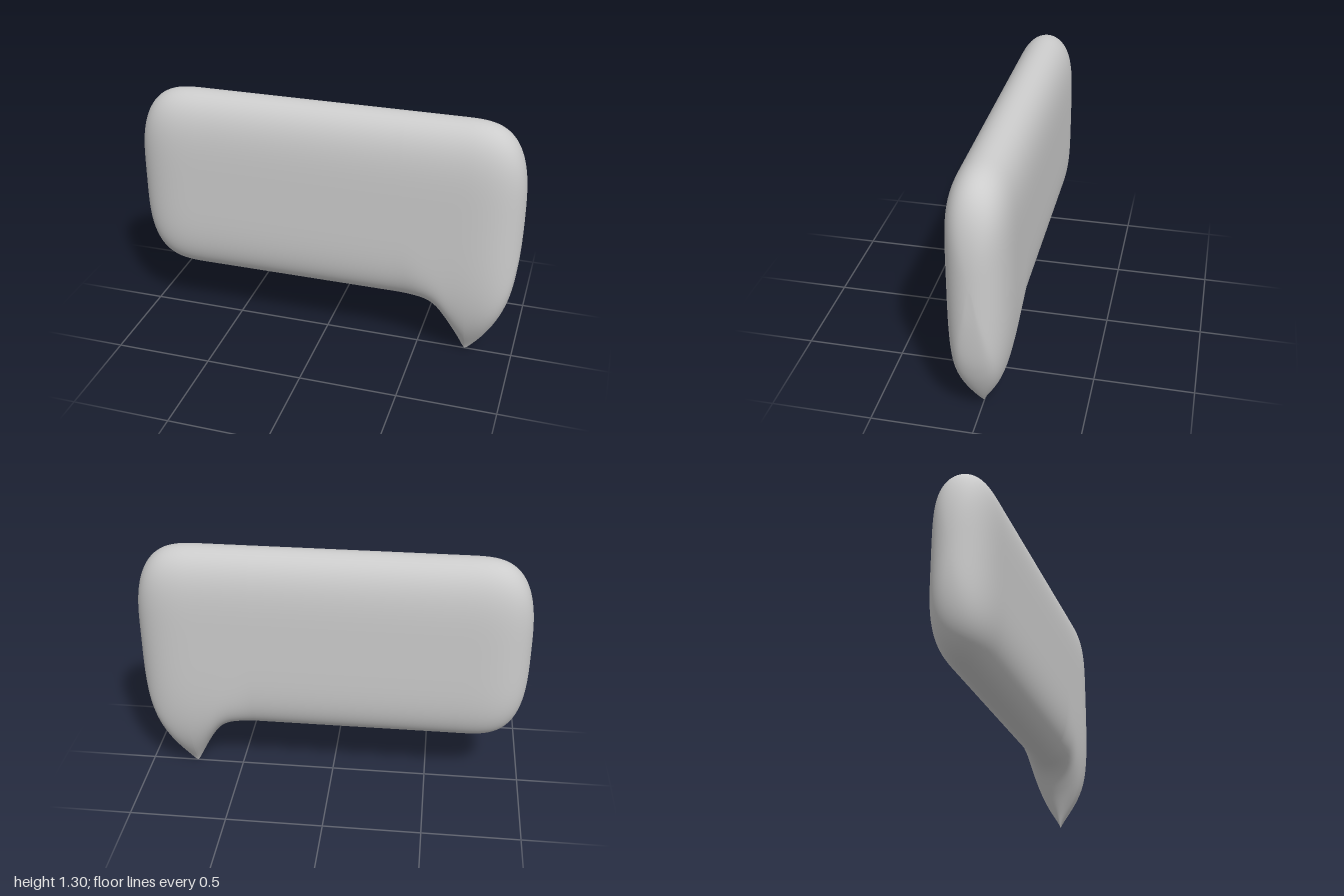
import * as THREE from 'three';
import { mergeVertices } from 'three/addons/utils/BufferGeometryUtils.js';

const MID = 0.8, HALF = 0.5, DEPTH = 0.153, RING = 96;

// Soft corner falloff: 0 at the left and right ends, 1 once past the rounding
const ease = (x, q) => {
  const d = Math.min(1, Math.max(0, (1 - Math.abs(x)) / 0.35));
  return Math.pow(1 - Math.pow(1 - d, 3.5), 1 / q);
};

// Columns across the width: x, top edge and bottom edge of the outline
function outlineColumns() {
  const cols = [];
  const add = (x, bottom) => cols.push({ x, top: MID + HALF * ease(x, 3), bottom });
  const body = (x) => add(x, MID - 0.495 * ease(x, 3));
  for (let i = 0; i < 40; i++) body(-1 + 0.35 * Math.pow(i / 40, 3));
  for (let i = 0; i < 20; i++) body(-0.65 + 1.05 * i / 20);
  // Tail: concave inner side, then convex outer side up to the right end
  const spline = (pts) => new THREE.SplineCurve(pts.map((p) => new THREE.Vector2(...p)));
  const inner = spline([[0.4, 0.305], [0.5, 0.301], [0.56, 0.288], [0.61, 0.25], [0.66, 0.175], [0.71, 0.08], [0.74, 0.02], [0.755, 0]]);
  const outer = spline([[0.755, 0], [0.78, 0.02], [0.84, 0.095], [0.9, 0.195], [0.945, 0.3], [0.975, 0.42], [0.994, 0.6], [1, MID]]);
  for (let i = 0; i < 50; i++) {
    const p = inner.getPoint(i / 50);
    add(p.x, p.y);
  }
  for (let i = 0; i <= 60; i++) {
    const p = outer.getPoint(1 - Math.pow(1 - i / 60, 2));
    add(Math.min(p.x, 1), Math.max(p.y, 0));
  }
  return cols;
}

// Closed pillow-like cross-sections joined along x
function bubbleGeometry() {
  const pos = [], index = [];
  const cols = outlineColumns();
  cols.forEach(({ x, top, bottom }, i) => {
    const tail = THREE.MathUtils.smoothstep(x, 0.4, 0.7);
    for (let j = 0; j < RING; j++) {
      const a = (j / RING) * Math.PI * 2;
      const c = Math.cos(a), s = Math.sin(a);
      const y = MID + c * (c > 0 ? top - MID : MID - bottom);
      const n = c > 0 ? 4.5 : 4.5 + 6.5 * tail;
      const round = Math.sqrt(Math.max(0, 1 - Math.pow(Math.abs(c), n)));
      // The tail thins to a point toward the ground
      const taper = y < MID ? 1 - tail * Math.pow(1 - y / MID, 4) : 1;
      pos.push(x, y, Math.sign(s) * DEPTH * ease(x, 2) * round * taper);
      if (i < cols.length - 1) {
        const k = (j + 1) % RING, p = i * RING, q = p + RING;
        index.push(p + j, p + k, q + j, q + j, p + k, q + k);
      }
    }
  });
  let geo = new THREE.BufferGeometry();
  geo.setAttribute('position', new THREE.Float32BufferAttribute(pos, 3));
  geo.setIndex(index);
  geo = mergeVertices(geo, 1e-5);
  geo.computeVertexNormals();
  return geo;
}

export function createModel() {
  const group = new THREE.Group();
  group.name = 'speechBubble';
  const mesh = new THREE.Mesh(bubbleGeometry(), new THREE.MeshStandardMaterial({ color: 0xcccccc }));
  mesh.name = 'bubbleWithTail';
  group.add(mesh);
  return group;
}
